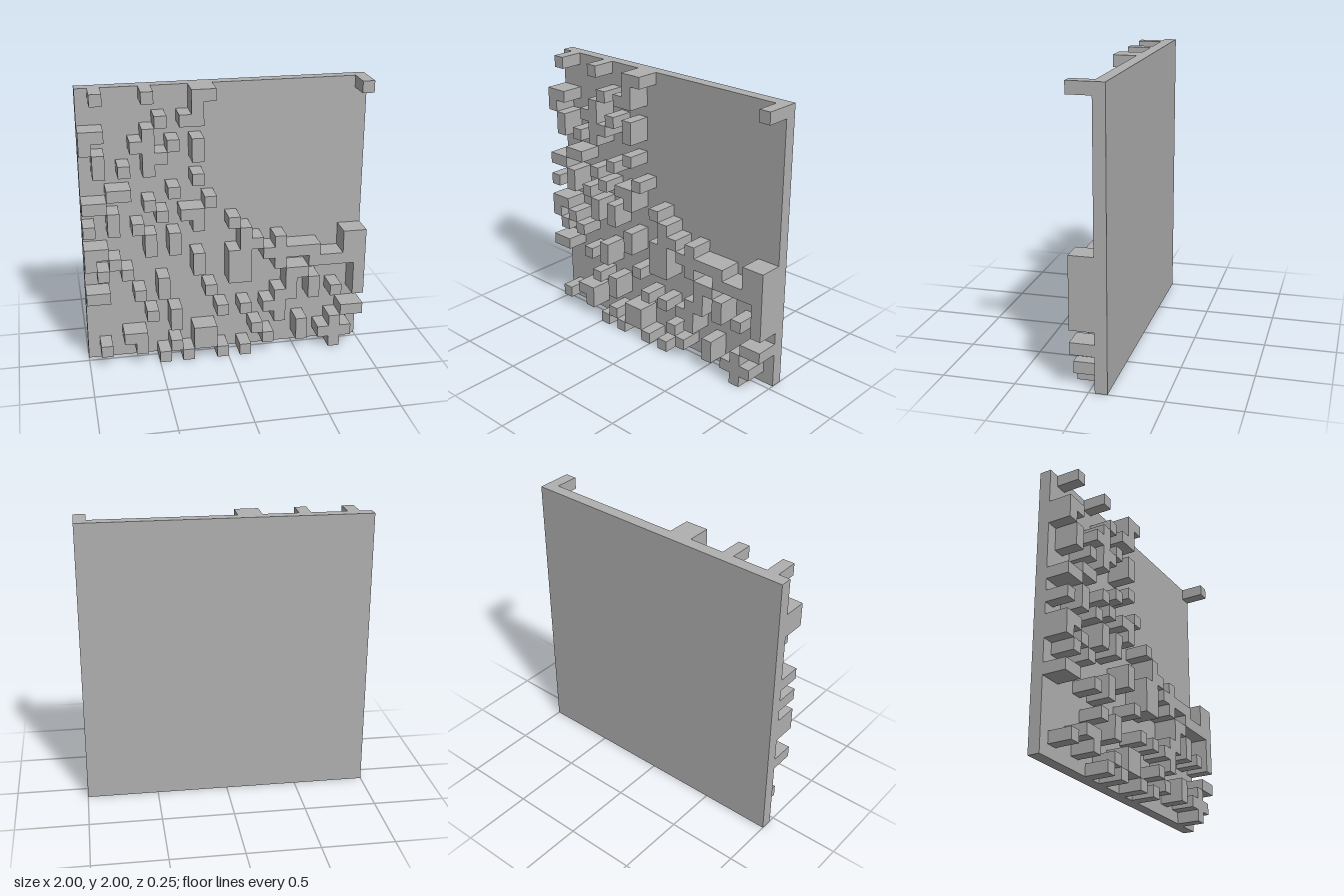
import * as THREE from 'three';

// Relief pattern on a 24 x 24 grid, top row first; '#' is a raised cell
const PATTERN = [
  '.#...#...##............#',
  '.........#..............',
  '......#.##..............',
  '##...#..................',
  '#...##.#.#..............',
  '.#...##..#..............',
  '.#.#.#..................',
  '.........#..............',
  '..##...#................',
  '##...#....#.............',
  '..#...#.##..............',
  '#.#.#....#..#...........',
  '.....#.#.....#..........',
  '##...#.#.....##.#.....##',
  '#.#......#..##.#####..##',
  '.#.#.....#..##..#..#####',
  '......#.....##...##....#',
  '##..#.#...#......#.#...#',
  '................##.#.#.#',
  '.....#.#...#.#.##.......',
  '.......#........#.....##',
  '...##....##...#...#..#..',
  '.#..#..#.##....#..#.###.',
  '......#.#..#.#.......#..',
];
const N = PATTERN.length;
const CELL = 2 / N;
const BACK = -0.125, BASE = BACK + CELL, FRONT = 0.125;

// Group raised cells into rectangles: extend across, then down
function rectangles() {
  const used = PATTERN.map(() => new Array(N).fill(false));
  const free = (r, c) => r < N && c < N && PATTERN[r][c] === '#' && !used[r][c];
  const list = [];
  for (let r = 0; r < N; r++) {
    for (let c = 0; c < N; c++) {
      if (!free(r, c)) continue;
      let w = 1, h = 1;
      while (free(r, c + w)) w++;
      const rowFree = (row) => {
        for (let i = 0; i < w; i++) if (!free(row, c + i)) return false;
        return true;
      };
      while (rowFree(r + h)) h++;
      for (let j = 0; j < h; j++) for (let i = 0; i < w; i++) used[r + j][c + i] = true;
      list.push({ r, c, w, h });
    }
  }
  return list;
}

export function createModel() {
  const model = new THREE.Group();
  model.name = 'reliefPanel';
  const grey = new THREE.MeshStandardMaterial({ color: 0xb0b0b0 });
  grey.name = 'plain grey';

  // Flat backing plate
  const plate = new THREE.Mesh(new THREE.BoxGeometry(2, 2, BASE - BACK), grey);
  plate.name = 'backPlate';
  plate.position.set(0, 1, (BACK + BASE) / 2);
  model.add(plate);

  // Raised blocks standing on the plate
  const blocks = new THREE.Group();
  blocks.name = 'raisedBlocks';
  for (const { r, c, w, h } of rectangles()) {
    const block = new THREE.Mesh(new THREE.BoxGeometry(w * CELL, h * CELL, FRONT - BASE), grey);
    block.name = 'raisedBlock';
    block.position.set(-1 + (c + w / 2) * CELL, 2 - (r + h / 2) * CELL, (BASE + FRONT) / 2);
    blocks.add(block);
  }
  model.add(blocks);
  return model;
}
